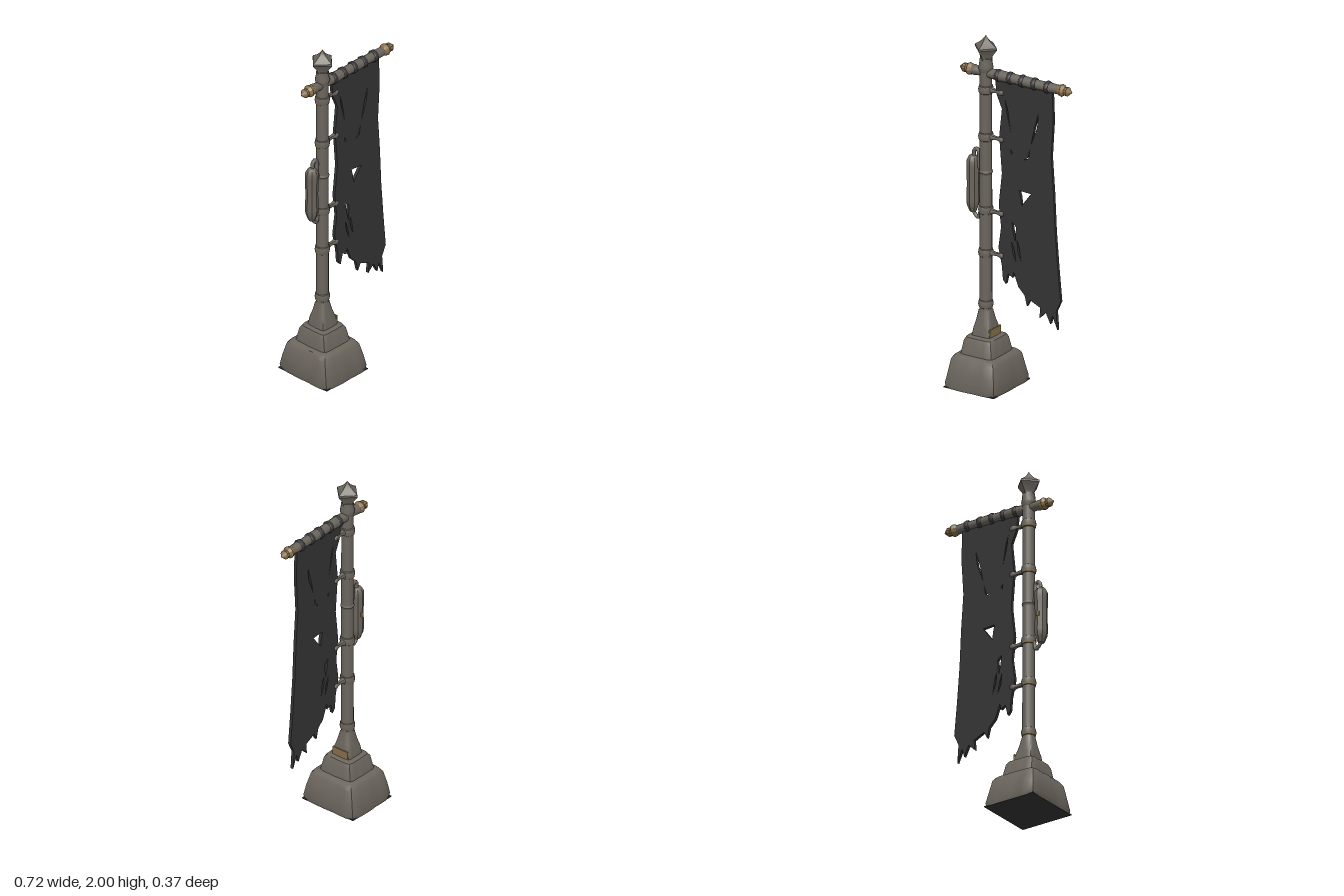
import * as THREE from 'three';
import { toCreasedNormals } from 'three/addons/utils/BufferGeometryUtils.js';

const POLE_X = -0.193;
const ROD_Y = 1.785;

export function createModel() {
  const model = new THREE.Group();
  const material = (name, color) => {
    const m = new THREE.MeshStandardMaterial({ color });
    m.name = name;
    return m;
  };
  const stone = material('weathered stone', 0x6b655d);
  const cloth = material('dark cloth', 0x343435);
  const brass = material('old brass', 0x88704a);

  const add = (name, geometry, mat, x = 0, y = 0, z = 0) => {
    const mesh = new THREE.Mesh(geometry, mat);
    mesh.name = name;
    mesh.position.set(x, y, z);
    model.add(mesh);
    return mesh;
  };
  const lathe = (pts, sides, crease = 0.6) =>
    toCreasedNormals(new THREE.LatheGeometry(pts.map(p => new THREE.Vector2(p[0], p[1])), sides), crease);
  const tube = (pts, r) => new THREE.TubeGeometry(
    new THREE.CatmullRomCurve3(pts.map(p => new THREE.Vector3(p[0], p[1], p[2] || 0))), 20, r, 8);

  // Stepped base: rounded squares [y, half x, half z, squareness], slightly worn
  const sections = [
    [0, 0.163, 0.181, 9], [0.025, 0.168, 0.185, 9], [0.09, 0.157, 0.17, 9], [0.16, 0.143, 0.152, 9],
    [0.178, 0.128, 0.138, 9], [0.186, 0.105, 0.113, 8], [0.26, 0.093, 0.096, 8], [0.277, 0.083, 0.086, 8],
    [0.285, 0.06, 0.062, 7], [0.33, 0.054, 0.055, 6], [0.37, 0.045, 0.045, 4], [0.43, 0.037, 0.037, 2],
  ];
  const N = 40, pos = [], idx = [];
  sections.forEach(([y, hx, hz, n], row) => {
    for (let i = 0; i < N; i++) {
      const a = i / N * Math.PI * 2, c = Math.cos(a), s = Math.sin(a);
      const r = Math.pow(Math.abs(c) ** n + Math.abs(s) ** n, -1 / n);
      const wear = 1 + 0.015 * Math.sin(3 * a + row) * Math.cos(5 * a - row * 0.7);
      const lean = (POLE_X + 0.187) * y / 0.43;
      pos.push(-0.187 + lean + c * r * hx * wear, y, s * r * hz * wear);
    }
  });
  for (let j = 0; j < sections.length - 1; j++) {
    for (let i = 0; i < N; i++) {
      const a = j * N + i, b = j * N + (i + 1) % N;
      idx.push(a, a + N, b, b, a + N, b + N);
    }
  }
  const base = new THREE.BufferGeometry();
  base.setAttribute('position', new THREE.Float32BufferAttribute(pos, 3));
  base.setIndex(idx);
  add('base', toCreasedNormals(base, 0.6), stone);
  const underside = new THREE.BoxGeometry(0.32, 0.006, 0.355);
  add('baseUnderside', underside, cloth, -0.187, 0.003, 0);
  add('baseBrassPlate', new THREE.BoxGeometry(0.008, 0.045, 0.105), brass, POLE_X + 0.058, 0.308, 0);

  // Pole
  add('pole', new THREE.CylinderGeometry(0.033, 0.035, 1.47, 14), stone, POLE_X, 1.135, 0);

  // Collars, with a brass strip round the back of each
  [0.46, 0.755, 1.0, 1.42, 1.69].forEach(y => {
    add('collar', lathe([[0.03, -0.026], [0.038, -0.02], [0.042, 0], [0.038, 0.02], [0.03, 0.026]], 14),
      stone, POLE_X, y, 0);
    add('collarBrass', new THREE.CylinderGeometry(0.0405, 0.0385, 0.014, 10, 1, true, Math.PI * 0.9, Math.PI * 0.7),
      brass, POLE_X, y - 0.014, 0).material.side = THREE.DoubleSide;
  });

  // Arms that hold the banner edge
  [0.755, 0.995, 1.42, 1.69].forEach(y => {
    const arm = lathe([[0.024, 0.025], [0.014, 0.045], [0.011, 0.07], [0.014, 0.088], [0.019, 0.1],
      [0.015, 0.115], [0, 0.12]], 8, 1.2);
    arm.rotateZ(-Math.PI / 2);
    add('bannerArm', arm, stone, POLE_X, y, 0);
  });

  // Finial: round neck, four-sided flared cap, brass tip
  add('finialNeck', lathe([[0.034, 1.79], [0.041, 1.815], [0.036, 1.84], [0.034, 1.87]], 14), stone, POLE_X);
  const cap = lathe([[0.032, 1.85], [0.042, 1.885], [0.072, 1.925], [0.07, 1.935], [0.042, 1.953],
    [0.022, 1.97], [0.014, 1.982]], 4, 0.4);
  add('finialCap', cap, stone, POLE_X);
  add('finialTip', new THREE.ConeGeometry(0.014, 0.02, 4), brass, POLE_X, 1.99, 0);

  // Crossbar with brass ends
  const bar = lathe([[0.026, -0.28], [0.03, -0.262], [0.025, -0.245], [0.028, -0.15], [0.031, -0.1],
    [0.027, 0], [0.03, 0.08], [0.026, 0.16], [0.028, 0.22], [0.025, 0.28]], 10, 1);
  bar.rotateZ(-Math.PI / 2);
  add('crossbar', bar, stone, 0, ROD_Y, 0);
  [1, -1].forEach(side => {
    const end = lathe([[0.024, 0.268], [0.03, 0.28], [0.035, 0.297], [0.024, 0.315], [0.026, 0.332], [0, 0.36]], 10, 0.5);
    end.rotateZ(-side * Math.PI / 2);
    add(side > 0 ? 'leftBarEnd' : 'rightBarEnd', end, brass, 0, ROD_Y, 0);
  });

  // Cloth loops over the crossbar
  [-0.112, -0.035, 0.042, 0.12, 0.203].forEach((x, i) => {
    const loop = lathe([[0.027, -0.014], [0.033, -0.01], [0.035, 0], [0.033, 0.01], [0.027, 0.014]], 10, 1);
    loop.rotateZ(-Math.PI / 2 + (i % 2 ? 0.08 : -0.08));
    add('clothLoop', loop, cloth, x, ROD_Y, 0);
  });

  // Ragged banner with tears
  const path = (P, pts) => new P(pts.map(p => new THREE.Vector2(p[0], p[1])));
  const banner = path(THREE.Shape, [
    [-0.13, 1.79], [-0.12, 1.68], [-0.085, 1.6], [-0.102, 1.44], [-0.085, 1.23], [-0.105, 1.05], [-0.09, 0.92],
    [-0.107, 0.8], [-0.085, 0.7], [-0.078, 0.62], [-0.06, 0.6], [-0.045, 0.66], [-0.015, 0.645], [-0.01, 0.68],
    [0.02, 0.6], [0.06, 0.56], [0.075, 0.5], [0.095, 0.54], [0.16, 0.51], [0.155, 0.45], [0.195, 0.49],
    [0.225, 0.43], [0.238, 0.48], [0.27, 0.405], [0.262, 0.51], [0.29, 0.57], [0.272, 0.76], [0.255, 0.97],
    [0.245, 1.18], [0.23, 1.39], [0.243, 1.6], [0.236, 1.79],
  ]);
  [
    [[-0.066, 1.66], [-0.05, 1.61], [-0.028, 1.48], [-0.055, 1.59]],
    [[-0.03, 1.38], [-0.018, 1.365], [-0.025, 1.35]],
    [[0.148, 1.62], [0.14, 1.54], [0.1, 1.43], [0.122, 1.53]],
    [[0.095, 1.41], [0.085, 1.35], [0.055, 1.335], [0.08, 1.355]],
    [[0.025, 1.155], [0.1, 1.15], [0.07, 1.11], [0.04, 1.07], [0.035, 1.115]],
    [[-0.022, 0.965], [0.005, 0.94], [0.0, 0.85], [-0.012, 0.9]],
    [[0.012, 0.87], [0.025, 0.83], [0.037, 0.75], [0.015, 0.81]],
    [[-0.025, 0.86], [-0.005, 0.8], [0.005, 0.74], [-0.015, 0.79]],
  ].forEach(h => banner.holes.push(path(THREE.Path, h)));
  const bannerGeo = new THREE.ExtrudeGeometry(banner, { depth: 0.018, bevelEnabled: false });
  bannerGeo.translate(0, 0, -0.009);
  add('banner', bannerGeo, cloth);

  // Lantern hung beside the pole, with curved brackets above and below
  const LX = -0.275;
  add('lantern', lathe([[0, 0.965], [0.018, 0.97], [0.028, 0.995], [0.034, 1.01], [0.037, 1.04], [0.034, 1.13],
    [0.037, 1.23], [0.037, 1.265], [0.026, 1.285], [0.013, 1.295], [0, 1.297]], 8), stone, LX);
  add('lanternStud', new THREE.BoxGeometry(0.02, 0.025, 0.008), brass, LX, 1.13, -0.032);
  add('lanternTopBracket', tube([[-0.268, 1.275], [-0.268, 1.32], [-0.25, 1.335], [-0.238, 1.32],
    [-0.238, 1.25], [-0.225, 1.222], [-0.19, 1.215]], 0.011), stone);
  add('lanternBottomBracket', tube([[-0.275, 0.98], [-0.26, 0.955], [-0.24, 0.942], [-0.232, 0.965],
    [-0.225, 0.99], [-0.19, 1.0]], 0.01), stone);
  add('lanternCollar', lathe([[0.032, -0.018], [0.038, 0], [0.032, 0.018]], 14), stone, POLE_X, 1.215, 0);

  return model;
}
